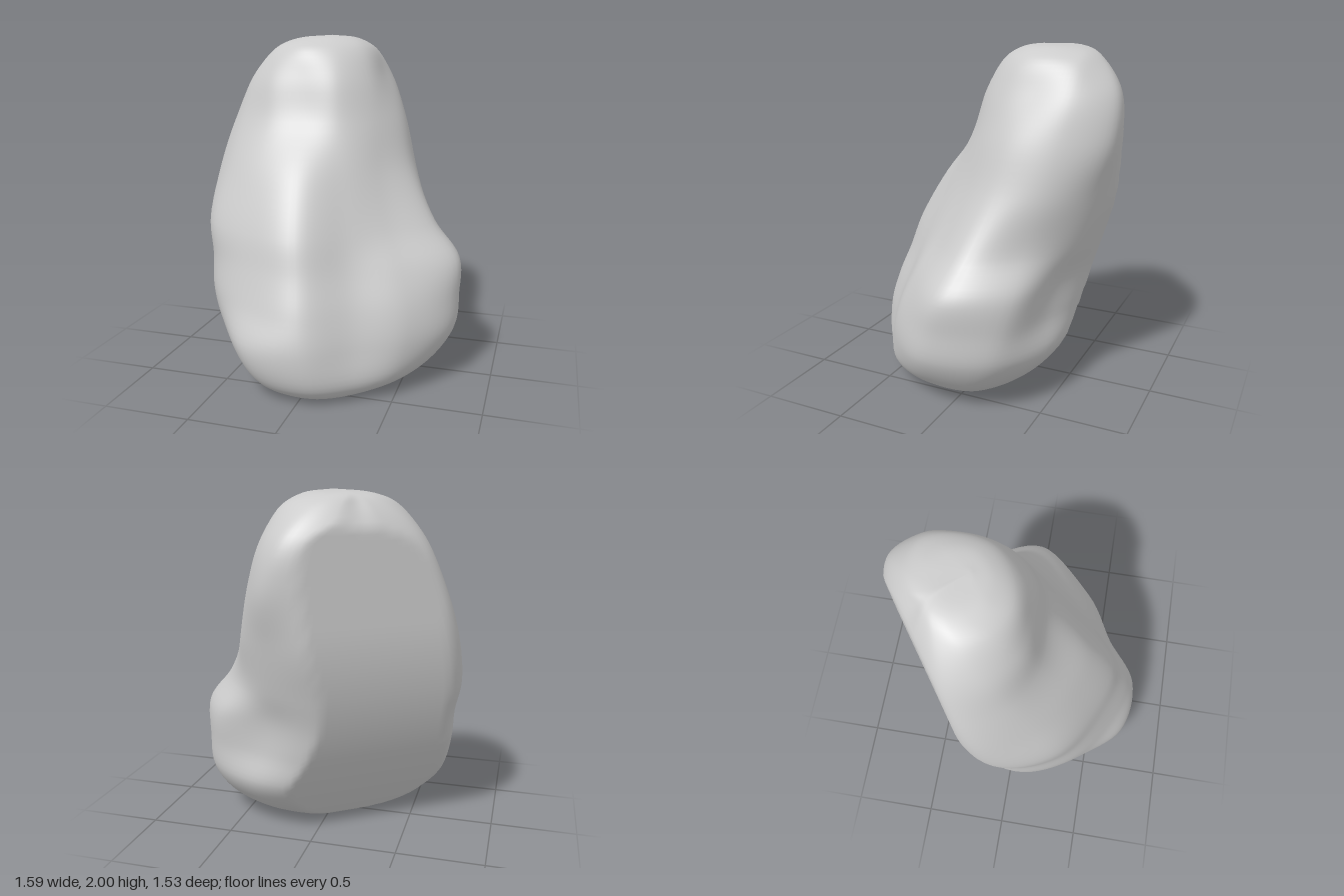
import * as THREE from 'three';

// Cross-sections of the boulder: height, then 12 radii every 30 degrees from +x towards +z
const SECTIONS = [
  [0.01, 0.34, 0.33, 0.36, 0.41, 0.42, 0.37, 0.38, 0.34, 0.33, 0.36, 0.37, 0.36],
  [0.10, 0.55, 0.50, 0.48, 0.55, 0.58, 0.52, 0.56, 0.52, 0.48, 0.49, 0.55, 0.61],
  [0.30, 0.73, 0.60, 0.53, 0.64, 0.69, 0.65, 0.71, 0.68, 0.62, 0.61, 0.67, 0.75],
  [0.50, 0.78, 0.63, 0.54, 0.65, 0.66, 0.70, 0.74, 0.69, 0.63, 0.60, 0.60, 0.75],
  [0.70, 0.80, 0.60, 0.52, 0.63, 0.64, 0.70, 0.73, 0.67, 0.62, 0.58, 0.56, 0.72],
  [0.90, 0.67, 0.52, 0.50, 0.62, 0.63, 0.71, 0.74, 0.64, 0.58, 0.58, 0.57, 0.60],
  [1.20, 0.55, 0.46, 0.46, 0.54, 0.56, 0.62, 0.68, 0.55, 0.50, 0.57, 0.58, 0.58],
  [1.50, 0.50, 0.45, 0.42, 0.40, 0.45, 0.52, 0.56, 0.44, 0.40, 0.48, 0.58, 0.54],
  [1.75, 0.42, 0.43, 0.42, 0.39, 0.42, 0.43, 0.41, 0.32, 0.30, 0.37, 0.48, 0.47],
  [1.92, 0.36, 0.38, 0.37, 0.36, 0.33, 0.28, 0.22, 0.17, 0.15, 0.20, 0.28, 0.35],
  [1.98, 0.26, 0.30, 0.29, 0.25, 0.18, 0.13, 0.09, 0.07, 0.07, 0.09, 0.13, 0.20],
];
const ROWS = 72, COLS = 96;

// Point on a section; the axis leans back and to the right as it rises
function sectionPoint(y, r, k) {
  const a = (k * Math.PI) / 6;
  return new THREE.Vector3(0.08 - 0.14 * y + r * Math.cos(a), y, 0.2 - 0.3 * y + r * Math.sin(a));
}

// Keep points above the ground and in front of the split-off back face, which curves under
function trim(p) {
  const nx = 0.58, nz = 0.815;
  const reach = 0.635 - 0.3 * Math.max(0, 1.3 - p.y) ** 2;
  const over = -reach - (nx * p.x + nz * p.z);
  if (over > 0) {
    p.x += nx * over;
    p.z += nz * over;
  }
  p.y = THREE.MathUtils.clamp(p.y, 0, 2);
  return p;
}

function boulderGeometry() {
  // Twelve ribs running from the base to the crown
  const base = new THREE.Vector3(0.07, 0, 0.22), crown = new THREE.Vector3(-0.07, 2, -0.26);
  const ribs = [];
  for (let k = 0; k < 12; k++) {
    ribs.push(new THREE.CatmullRomCurve3([base, ...SECTIONS.map((s) => sectionPoint(s[0], s[k + 1], k)), crown]));
  }

  // Smooth closed loops across the ribs
  const positions = [], index = [];
  for (let i = 0; i <= ROWS; i++) {
    const loop = new THREE.CatmullRomCurve3(ribs.map((rib) => rib.getPoint(i / ROWS)), true);
    for (let j = 0; j < COLS; j++) positions.push(...trim(loop.getPoint(j / COLS)).toArray());
  }

  // Skin; each end row shares a single vertex
  const id = (i, j) => i * COLS + (i === 0 || i === ROWS ? 0 : j % COLS);
  for (let i = 0; i < ROWS; i++) {
    for (let j = 0; j < COLS; j++) {
      const a = id(i, j), b = id(i, j + 1), c = id(i + 1, j), d = id(i + 1, j + 1);
      if (a !== b) index.push(a, c, b);
      if (c !== d) index.push(b, c, d);
    }
  }
  const geometry = new THREE.BufferGeometry();
  geometry.setAttribute('position', new THREE.Float32BufferAttribute(positions, 3));
  geometry.setIndex(index);
  geometry.computeVertexNormals();
  return geometry;
}

export function createModel() {
  const group = new THREE.Group();
  group.name = 'rock';
  const boulder = new THREE.Mesh(boulderGeometry(), new THREE.MeshStandardMaterial({ color: 0xcccccc }));
  boulder.name = 'boulder';
  group.add(boulder);
  return group;
}
